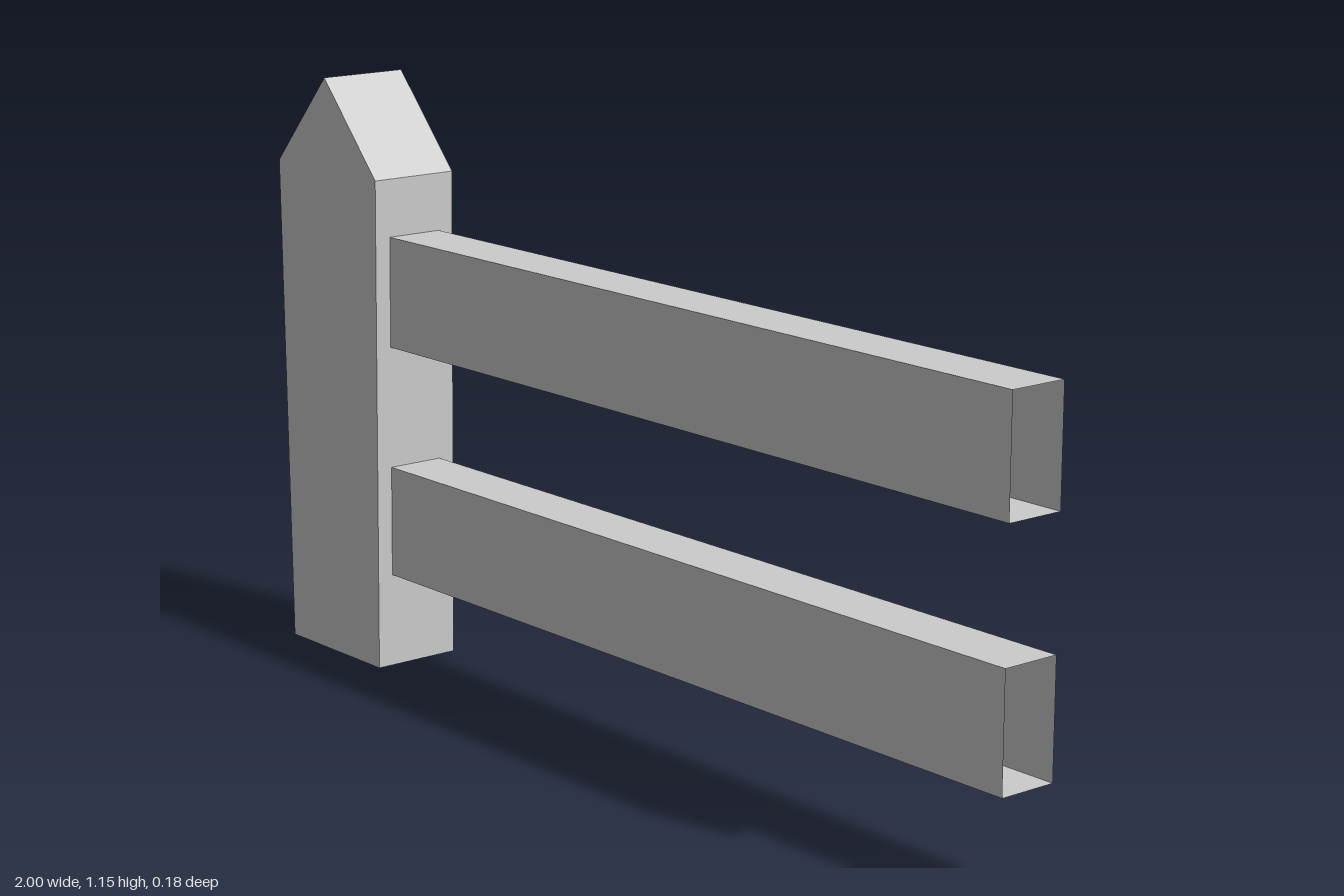
import * as THREE from 'three';

const grey = new THREE.MeshStandardMaterial({ color: 0xcccccc, side: THREE.DoubleSide });
grey.name = 'grey';

// One-sheet strip: sweeps an outline of [x, y] points from front to back, skipping the listed edges
function strip(outline, depth, name, skip = []) {
  const pos = [];
  outline.forEach(([ax, ay], i) => {
    if (skip.includes(i)) return;
    const [bx, by] = outline[(i + 1) % outline.length];
    const a = [ax, ay, depth], b = [bx, by, depth], c = [bx, by, -depth], d = [ax, ay, -depth];
    pos.push(...a, ...d, ...b, ...b, ...d, ...c);
  });
  // Counter-clockwise outline: flip each triangle so that it faces outwards
  for (let i = 0; i < pos.length; i += 9) {
    const second = pos.slice(i + 3, i + 6);
    pos.splice(i + 3, 6, ...pos.slice(i + 6, i + 9), ...second);
  }
  for (let i = 0; i < pos.length; i += 9) {
    const second = pos.slice(i + 3, i + 6);
    pos.splice(i + 3, 6, ...pos.slice(i + 6, i + 9), ...second);
  }
  const geo = new THREE.BufferGeometry();
  geo.setAttribute('position', new THREE.Float32BufferAttribute(pos, 3));
  geo.computeVertexNormals();
  const mesh = new THREE.Mesh(geo, grey);
  mesh.name = name;
  return mesh;
}

// Flat board in the outline's shape, facing the front or the back
function board(outline, z, name) {
  const geo = new THREE.ShapeGeometry(new THREE.Shape(outline.map(([x, y]) => new THREE.Vector2(x, y))));
  if (z < 0) {
    geo.index.array.reverse();
    geo.computeVertexNormals();
  }
  const mesh = new THREE.Mesh(geo, grey);
  mesh.position.z = z;
  mesh.name = name;
  return mesh;
}

// Hollow part: front and back boards joined by a strip, open along the skipped edges
function hollow(outline, depth, name, skip) {
  const group = new THREE.Group();
  group.name = name;
  group.add(
    board(outline, depth, name + 'Front'),
    board(outline, -depth, name + 'Back'),
    strip(outline, depth, name + 'Edges', skip)
  );
  return group;
}

export function createModel() {
  const model = new THREE.Group();
  model.name = 'fence';

  // Pointed post, widening upwards; open underneath and on its outer side
  const post = [[-0.985, 0], [-0.688, 0], [-0.673, 0.975], [-0.837, 1.155], [-1, 0.975]];
  model.add(hollow(post, 0.091, 'post', [0, 4]));

  // Two rails with open ends, cut to the slope of the post
  const postSide = (y) => -0.688 + 0.015 * y / 0.975;
  [['lowerRail', 0.186, 0.405], ['upperRail', 0.645, 0.862]].forEach(([name, y0, y1]) => {
    const rail = [[postSide(y0), y0], [1, y0], [1, y1], [postSide(y1), y1]];
    model.add(hollow(rail, 0.058, name, [1, 3]));
  });
  return model;
}
